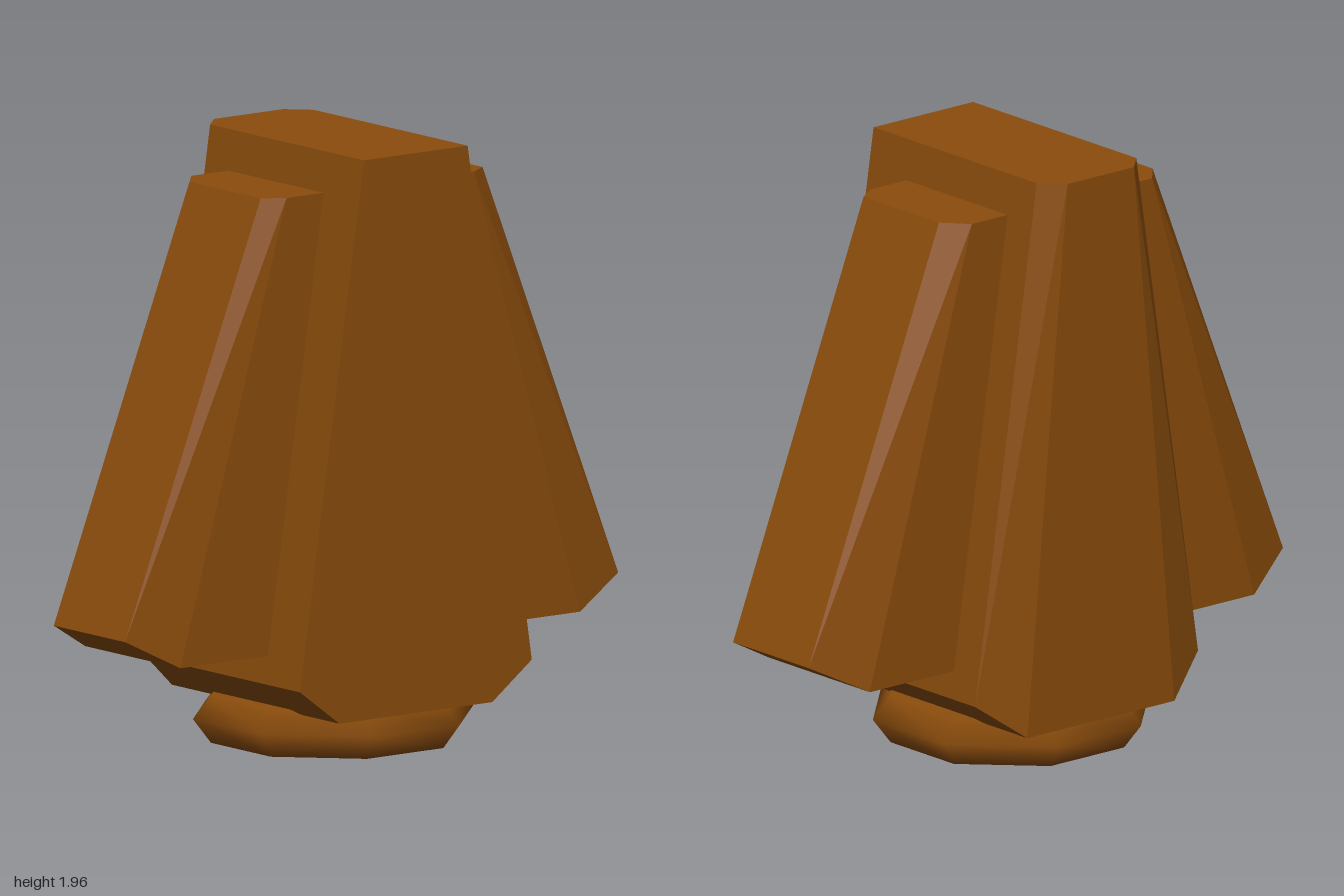
import * as THREE from 'three';
import { ConvexGeometry } from 'three/addons/geometries/ConvexGeometry.js';

const brown = new THREE.MeshStandardMaterial({ color: 0x8a4c0c });
brown.name = 'brown';

// Faceted solid spanned by its corner points
function facetedPart(name, corners) {
  const geometry = new ConvexGeometry(corners.map((c) => new THREE.Vector3(...c)));
  const mesh = new THREE.Mesh(geometry, brown);
  mesh.name = name;
  return mesh;
}

export function createModel() {
  const model = new THREE.Group();
  model.name = 'model';

  // Tapered central body: flat front, bevelled back edges, undercut bottom
  const bodyCorners = [];
  for (const s of [-1, 1]) {
    bodyCorners.push(
      [s * 0.21, 1.96, 0.43], [s * 0.21, 1.96, -0.37], [s * 0.14, 1.96, -0.44],
      [s * 0.47, 0.26, 0.43], [s * 0.47, 0.26, -0.37],
      [s * 0.31, 0.14, 0.43], [s * 0.31, 0.14, -0.44],
    );
  }
  model.add(facetedPart('body', bodyCorners));

  // Slanted side slabs with bevelled outer edges, rooted inside the body
  for (const [name, s] of [['leftSlab', 1], ['rightSlab', -1]]) {
    const corners = [];
    for (const [face, edge] of [[0.245, 0.2], [-0.25, -0.17]]) {
      corners.push(
        [s * 0.12, 1.83, face], [s * 0.38, 1.83, face], [s * 0.45, 1.83, edge],
        [s * 0.3, 0.35, face], [s * 0.81, 0.35, face], [s * 1.0, 0.45, edge],
      );
    }
    model.add(facetedPart(name, corners));
  }

  // Eight-sided foot with a flat side to the front, smooth shaded
  const profile = [[0, 0], [0.405, 0], [0.465, 0.08], [0.405, 0.155], [0, 0.155]]
    .map(([r, y]) => new THREE.Vector2(r, y));
  const foot = new THREE.Mesh(new THREE.LatheGeometry(profile, 8, Math.PI / 8), brown);
  foot.name = 'foot';
  model.add(foot);

  return model;
}
